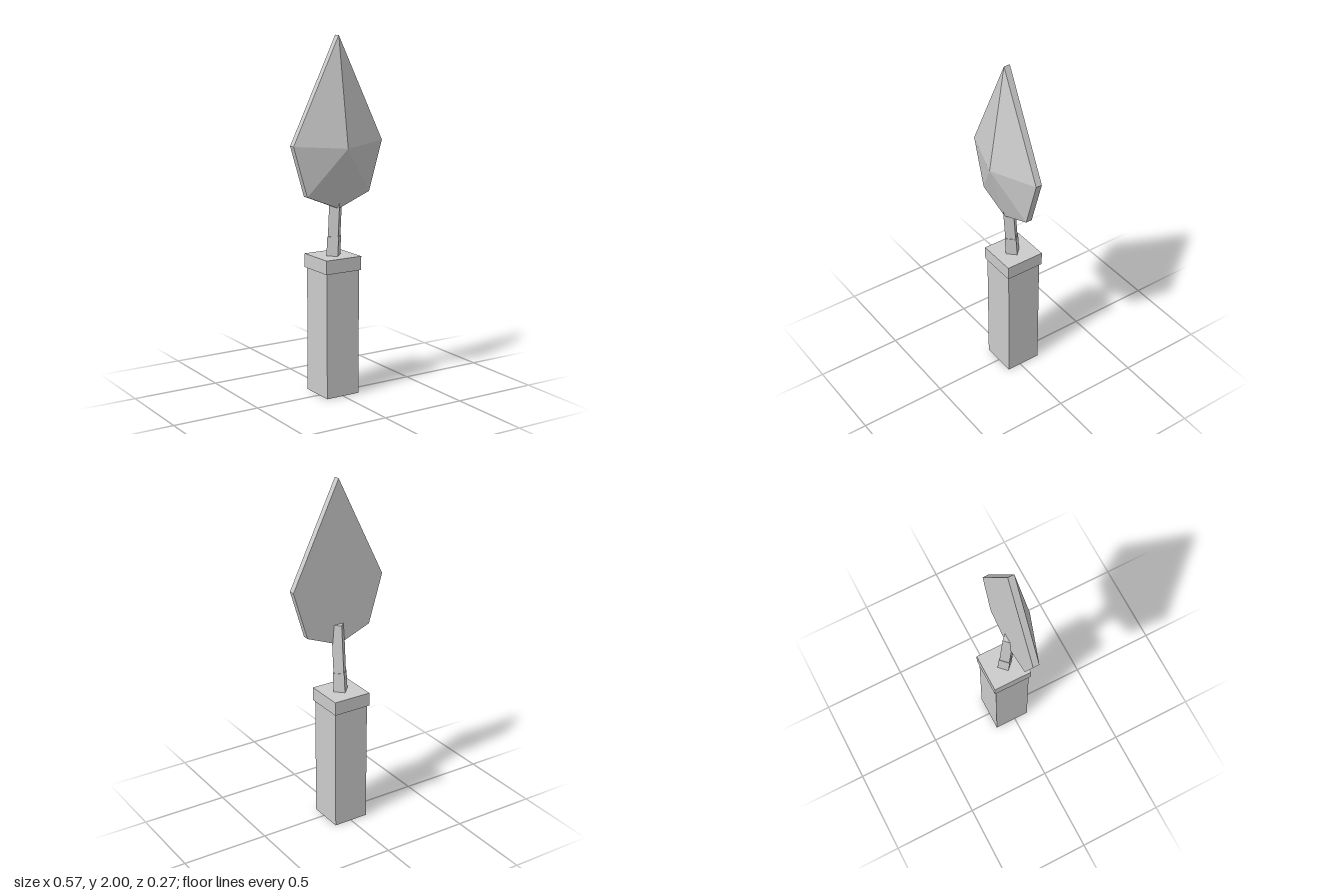
import * as THREE from 'three';

const grey = new THREE.MeshStandardMaterial({ color: 0xcccccc });
grey.name = 'light grey';

function addPart(group, name, geometry) {
  const mesh = new THREE.Mesh(geometry, grey);
  mesh.name = name;
  group.add(mesh);
  return mesh;
}

// Upright block between two heights
function block(width, depth, y0, y1, z) {
  return new THREE.BoxGeometry(width, y1 - y0, depth).translate(0, (y0 + y1) / 2, z);
}

// Diamond-section rod leaning forward as it rises
function leaningRod(bottomRadius, topRadius, y0, y1) {
  const geo = new THREE.CylinderGeometry(topRadius, bottomRadius, y1 - y0, 4)
    .translate(0, (y0 + y1) / 2, 0).toNonIndexed();
  const p = geo.attributes.position;
  for (let i = 0; i < p.count; i++) {
    p.setZ(i, p.getZ(i) - 0.016 + 0.074 * (p.getY(i) - 0.79));
  }
  geo.computeVertexNormals();
  return geo;
}

// Leaf-shaped plate: flat back, thin rim, front faceted up to a single peak
function bladeGeometry() {
  const outline = [[0, 2], [-0.284, 1.42], [-0.2, 1.14], [0, 1.06], [0.2, 1.14], [0.284, 1.42]];
  const backZ = 0.002, rimZ = 0.038;
  const peak = [0, 1.4, 0.133], backCentre = [0, 1.4, backZ];
  const verts = [];
  outline.forEach((a, i) => {
    const b = outline[(i + 1) % outline.length];
    const fa = [...a, rimZ], fb = [...b, rimZ], ba = [...a, backZ], bb = [...b, backZ];
    verts.push(...peak, ...fa, ...fb);
    verts.push(...fa, ...ba, ...fb, ...fb, ...ba, ...bb);
    verts.push(...backCentre, ...bb, ...ba);
  });
  const geo = new THREE.BufferGeometry();
  geo.setAttribute('position', new THREE.Float32BufferAttribute(verts, 3));
  geo.computeVertexNormals();
  return geo;
}

export function createModel() {
  const trowel = new THREE.Group();
  trowel.name = 'trowel';

  // Square grip and its collar
  addPart(trowel, 'handle', block(0.208, 0.21, 0, 0.712, -0.021));
  addPart(trowel, 'collar', block(0.226, 0.23, 0.712, 0.79, -0.022));

  // Neck: thicker socket, then the tang reaching up behind the blade
  addPart(trowel, 'neckSocket', leaningRod(0.046, 0.045, 0.79, 0.9));
  addPart(trowel, 'neckTang', leaningRod(0.041, 0.041, 0.9, 1.18));

  addPart(trowel, 'blade', bladeGeometry());
  return trowel;
}
